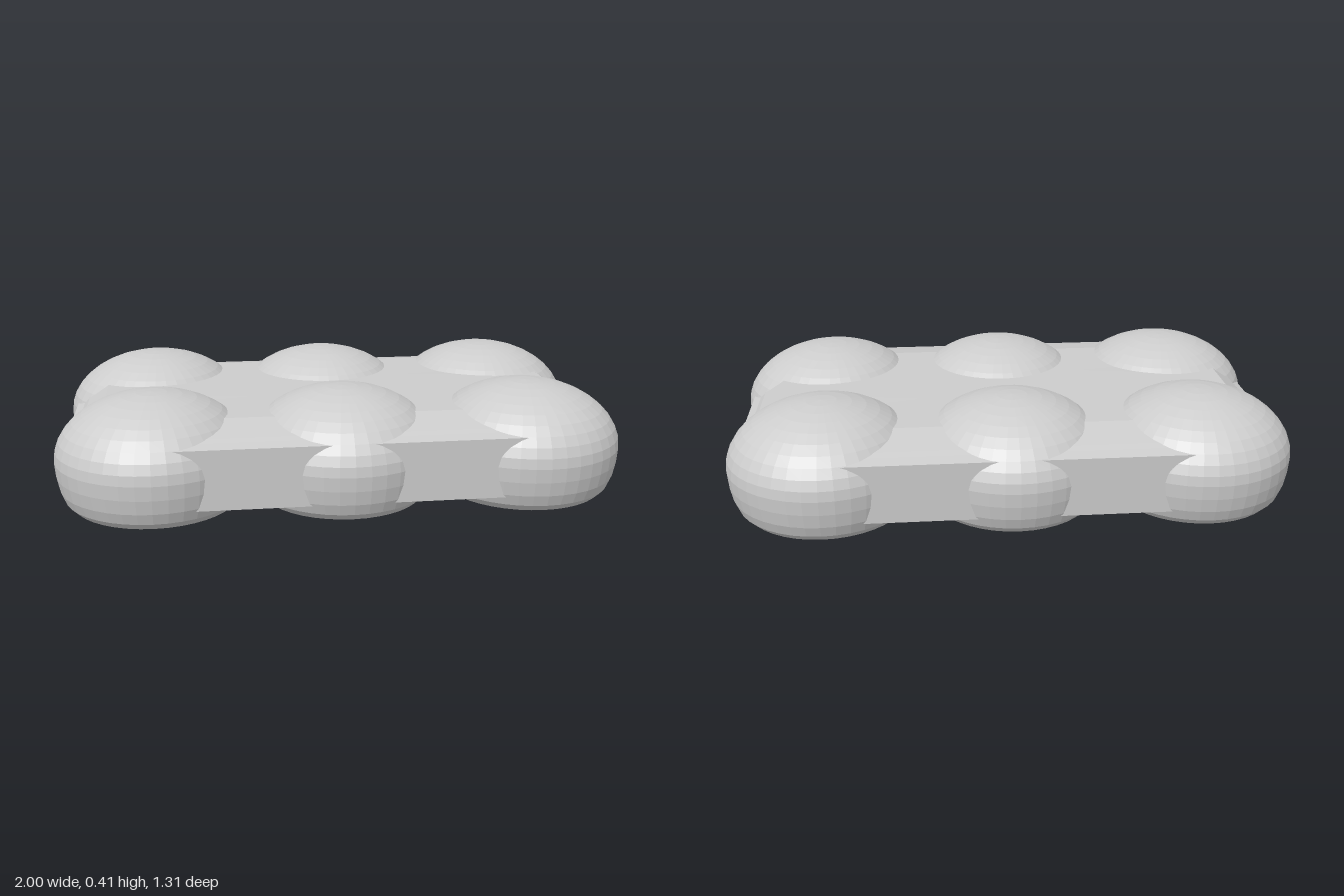
import * as THREE from 'three';

const grey = new THREE.MeshStandardMaterial({ color: 0xcccccc, flatShading: true });
grey.name = 'light grey';

// Round bun: flat base, rounded lower edge, short wall, elliptical dome
function lobeGeometry() {
  const R = 0.34, wallTop = 0.18, top = 0.405;
  const profile = [[0, 0], [0.25, 0.002], [0.285, 0.015], [0.31, 0.04], [0.326, 0.08], [0.336, 0.13]]
    .map(([r, y]) => new THREE.Vector2(r, y));
  const steps = 10;
  for (let i = 0; i <= steps; i++) {
    const a = (i / steps) * Math.PI / 2;
    profile.push(new THREE.Vector2(i === steps ? 0 : R * Math.cos(a), wallTop + (top - wallTop) * Math.sin(a)));
  }
  return new THREE.LatheGeometry(profile, 40);
}

// Filler slab: eight-cornered rings; the height of each ring differs on the
// long (front/back) and short (left/right) sides
function coreGeometry() {
  // half x, half z, y on short sides, y on long sides
  const rings = [
    [0.72, 0.38, 0.02, 0.02],
    [0.92, 0.56, 0.065, 0.055],
    [0.965, 0.605, 0.08, 0.07],
    [0.965, 0.61, 0.232, 0.28],
    [0.935, 0.565, 0.245, 0.29],
    [0.915, 0.54, 0.268, 0.297],
    [0.84, 0.4, 0.32, 0.325],
    [0.6, 0.13, 0.325, 0.325],
  ];
  const pos = [], index = [], n = 8;
  for (const [hx, hz, ys, yl] of rings) {
    const cx = hx - 0.3, cz = Math.min(0.24, hz * 0.6);
    pos.push(hx, ys, cz, hx, ys, -cz, cx, yl, -hz, -cx, yl, -hz,
      -hx, ys, -cz, -hx, ys, cz, -cx, yl, hz, cx, yl, hz);
  }
  for (let r = 0; r < rings.length - 1; r++) {
    for (let i = 0; i < n; i++) {
      const a = r * n + i, b = r * n + (i + 1) % n;
      index.push(a, b, b + n, a, b + n, a + n);
    }
  }
  // Flat caps
  const last = (rings.length - 1) * n;
  for (let i = 1; i < n - 1; i++) {
    index.push(0, i + 1, i);
    index.push(last, last + i, last + i + 1);
  }
  const g = new THREE.BufferGeometry();
  g.setAttribute('position', new THREE.Float32BufferAttribute(pos, 3));
  g.setIndex(index);
  g.computeVertexNormals();
  return g;
}

export function createModel() {
  const model = new THREE.Group();
  model.name = 'sixLobedSlab';

  const core = new THREE.Mesh(coreGeometry(), grey);
  core.name = 'core';
  model.add(core);

  // Two rows of three lobes
  const lobe = lobeGeometry();
  for (const z of [-0.315, 0.315]) {
    for (const x of [-0.66, 0, 0.66]) {
      const mesh = new THREE.Mesh(lobe, grey);
      mesh.name = (z > 0 ? 'front' : 'back') + (x > 0 ? 'Left' : x < 0 ? 'Right' : 'Middle') + 'Lobe';
      mesh.position.set(x, 0, z);
      model.add(mesh);
    }
  }
  return model;
}
